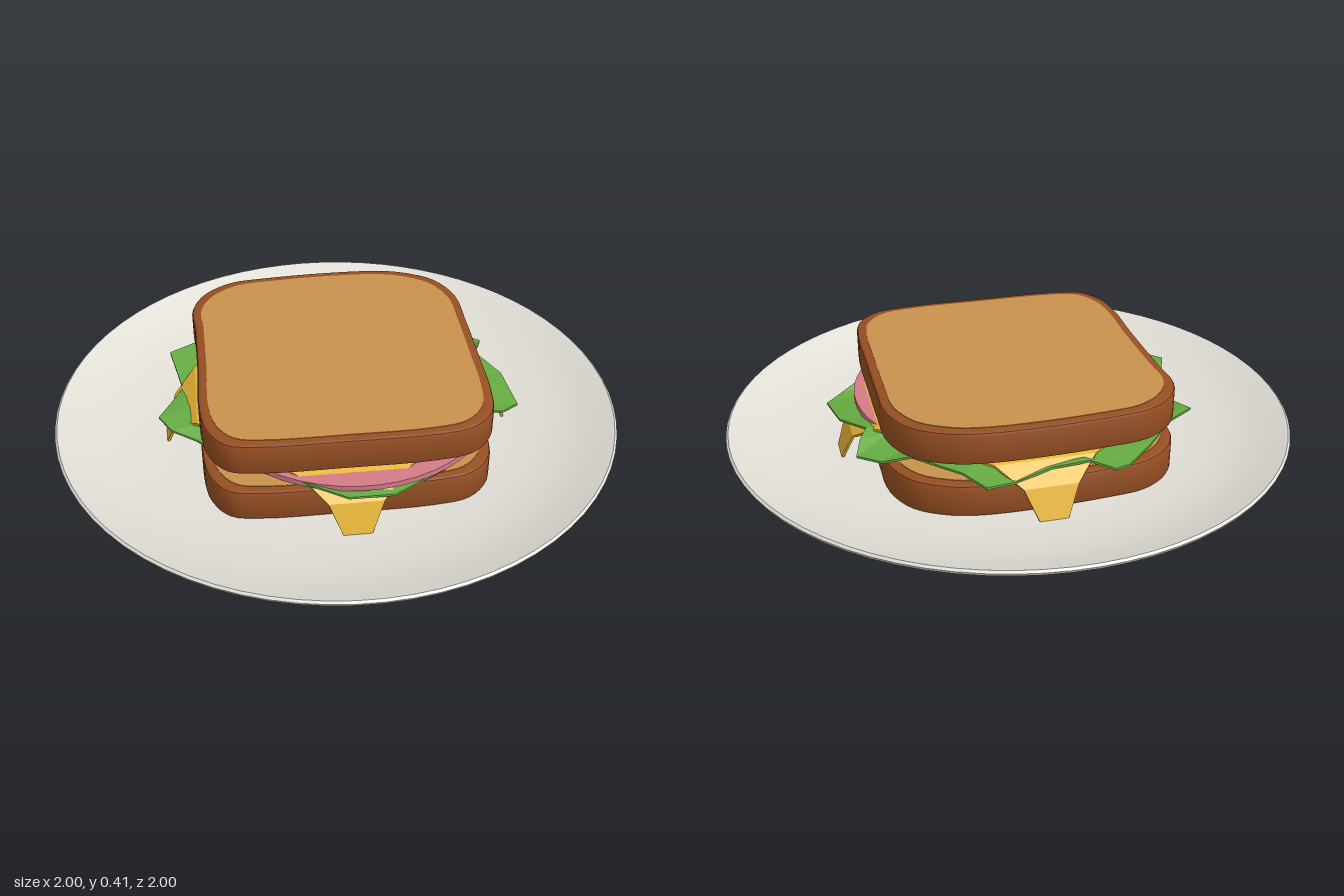
import * as THREE from 'three';
import { toCreasedNormals } from 'three/addons/utils/BufferGeometryUtils.js';

const mat = (name, color, side = THREE.FrontSide) => {
  const m = new THREE.MeshStandardMaterial({ color, side });
  m.name = name;
  return m;
};

// Joins rings of equal length into a flat-shaded skin and closes both ends
function loft(rings) {
  const out = [];
  const tri = (...ps) => ps.forEach((p) => out.push(p.x, p.y, p.z));
  const n = rings[0].length;
  const mid = (ring) => ring.reduce((s, p) => s.add(p), new THREE.Vector3()).divideScalar(n);
  const last = rings[rings.length - 1];
  const m0 = mid(rings[0]), m1 = mid(last);
  for (let k = 0; k < n; k++) {
    const j = (k + 1) % n;
    tri(m0, rings[0][j], rings[0][k]);
    for (let i = 0; i + 1 < rings.length; i++) {
      const a = rings[i], b = rings[i + 1];
      tri(a[k], a[j], b[k]);
      tri(a[j], b[j], b[k]);
    }
    tri(m1, last[k], last[j]);
  }
  const g = new THREE.BufferGeometry();
  g.setAttribute('position', new THREE.Float32BufferAttribute(out, 3));
  g.computeVertexNormals();
  return g;
}

// Extrudes an (x, z) outline downwards from y = 0
function slab(points, height, bevel = 0) {
  const g = new THREE.ExtrudeGeometry(new THREE.Shape(points), {
    depth: height - 2 * bevel, bevelEnabled: bevel > 0, bevelSize: bevel,
    bevelThickness: bevel, bevelOffset: -bevel, bevelSegments: 2,
  });
  g.rotateX(Math.PI / 2);
  g.translate(0, -bevel, 0);
  return toCreasedNormals(g, 0.7);
}

const breadOutline = [
  [0.14, -0.586], [0.27, -0.555], [0.365, -0.457], [0.417, -0.32], [0.49, -0.1], [0.557, 0.11],
  [0.575, 0.233], [0.53, 0.33], [0.42, 0.393], [0.14, 0.49], [-0.13, 0.575], [-0.235, 0.586],
  [-0.315, 0.53], [-0.375, 0.42], [-0.44, 0.217], [-0.53, -0.045], [-0.575, -0.17],
  [-0.56, -0.28], [-0.487, -0.377], [-0.37, -0.436], [-0.155, -0.52], [0.03, -0.575],
];

const lettuceOutline = [
  [0.02, -0.63], [0.1, -0.58], [0.28, -0.47], [0.38, -0.47], [0.47, -0.44], [0.47, -0.37],
  [0.46, -0.31], [0.57, -0.22], [0.645, -0.07], [0.6, 0], [0.555, 0.04], [0.5, 0.2],
  [0.44, 0.35], [0.3, 0.5], [0.16, 0.57], [0.03, 0.555], [-0.15, 0.5], [-0.3, 0.43],
  [-0.41, 0.365], [-0.5, 0.36], [-0.56, 0.31], [-0.555, 0.2], [-0.55, 0.08], [-0.585, 0.02],
  [-0.645, -0.08], [-0.57, -0.17], [-0.5, -0.3], [-0.43, -0.42], [-0.385, -0.485],
  [-0.3, -0.47], [-0.18, -0.5], [-0.07, -0.56],
];

export function createModel() {
  const plateMat = mat('plate', 0xe2dfd7);
  const crustMat = mat('crust', 0x964f22);
  const crumbMat = mat('crumb', 0xc9924c);
  const cheeseMat = mat('cheese', 0xe9b835, THREE.DoubleSide);
  const hamMat = mat('ham', 0xd47b87);
  const lettuceMat = mat('lettuce', 0x65ab42, THREE.DoubleSide);

  const model = new THREE.Group();
  model.name = 'sandwichOnPlate';
  const add = (name, geometry, material, parent = model) => {
    const m = new THREE.Mesh(geometry, material);
    m.name = name;
    parent.add(m);
    return m;
  };

  // Plate with a solid foot
  const profile = [
    [0, 0.018], [0.603, 0.018], [0.615, 0.057], [0.76, 0.088], [0.9, 0.122], [0.96, 0.147],
    [0.996, 0.168], [1, 0.178], [0.992, 0.185], [0.98, 0.181], [0.92, 0.154], [0.82, 0.124],
    [0.7, 0.103], [0.58, 0.094], [0, 0.093],
  ].map(([x, y]) => new THREE.Vector2(x, y));
  add('plate', toCreasedNormals(new THREE.LatheGeometry(profile, 72), 0.7), plateMat);

  // Two slices of bread, with crumb faces above and below
  const curve = new THREE.CatmullRomCurve3(
    breadOutline.map(([x, z]) => new THREE.Vector3(x, z, 0)), true);
  const outline = curve.getPoints(88).slice(0, -1).map((p) => new THREE.Vector2(p.x, p.y));
  const crustGeo = slab(outline, 0.115, 0.012);
  const crumbGeo = slab(outline.map((p) => p.clone().multiplyScalar(0.935)), 0.004);
  [['bottomBread', 0.21], ['topBread', 0.403]].forEach(([name, top]) => {
    const bread = new THREE.Group();
    bread.name = name;
    bread.position.y = top;
    model.add(bread);
    add('crust', crustGeo, crustMat, bread);
    add('crumbTop', crumbGeo, crumbMat, bread).position.y = 0.002;
    add('crumbUnderside', crumbGeo, crumbMat, bread).position.y = -0.113;
  });

  // Lettuce leaf with a wavy rim
  const leafRing = (scale, wave, lift) => lettuceOutline.map(([x, z], i) =>
    new THREE.Vector3(x * scale, 0.226 + lift + wave * (0.4 + Math.sin(i * 1.35)), z * scale));
  add('lettuce', loft([
    leafRing(0.6, 0, 0.005), leafRing(0.82, 0.008, 0.005), leafRing(1, 0.02, 0.004),
    leafRing(1, 0.02, -0.004), leafRing(0.82, 0.008, -0.005), leafRing(0.6, 0, -0.005),
  ]), lettuceMat);

  // Round ham slice
  add('ham', new THREE.CylinderGeometry(0.5, 0.5, 0.02, 48), hamMat).position.set(0.06, 0.25, 0.05);

  // Cheese slice with four corners hanging down
  const cheese = new THREE.Group();
  cheese.name = 'cheese';
  cheese.rotation.y = -1.25;
  model.add(cheese);
  const corners = [];
  for (let i = 0; i < 4; i++) {
    for (const w of [-0.28, 0.28]) {
      corners.push(new THREE.Vector2(0.42, w).rotateAround(new THREE.Vector2(), i * Math.PI / 2));
    }
  }
  add('cheeseSlice', slab(corners, 0.014), cheeseMat, cheese).position.y = 0.282;

  // Stations along a corner: distance out, height, half width
  const flapGeo = loft([
    [0.42, 0.282, 0.28], [0.5, 0.258, 0.17], [0.575, 0.2, 0.092], [0.612, 0.1, 0.05], [0.645, 0, 0.004],
  ].map(([d, y, w], i) => {
    const dx = 0.003 * i, dy = 0.014 - 0.0035 * i;
    return [
      new THREE.Vector3(d, y, -w), new THREE.Vector3(d, y, w),
      new THREE.Vector3(d - dx, y - dy, w), new THREE.Vector3(d - dx, y - dy, -w),
    ];
  }));
  for (let i = 0; i < 4; i++) {
    add('cheeseCorner', flapGeo, cheeseMat, cheese).rotation.y = i * Math.PI / 2;
  }
  return model;
}
